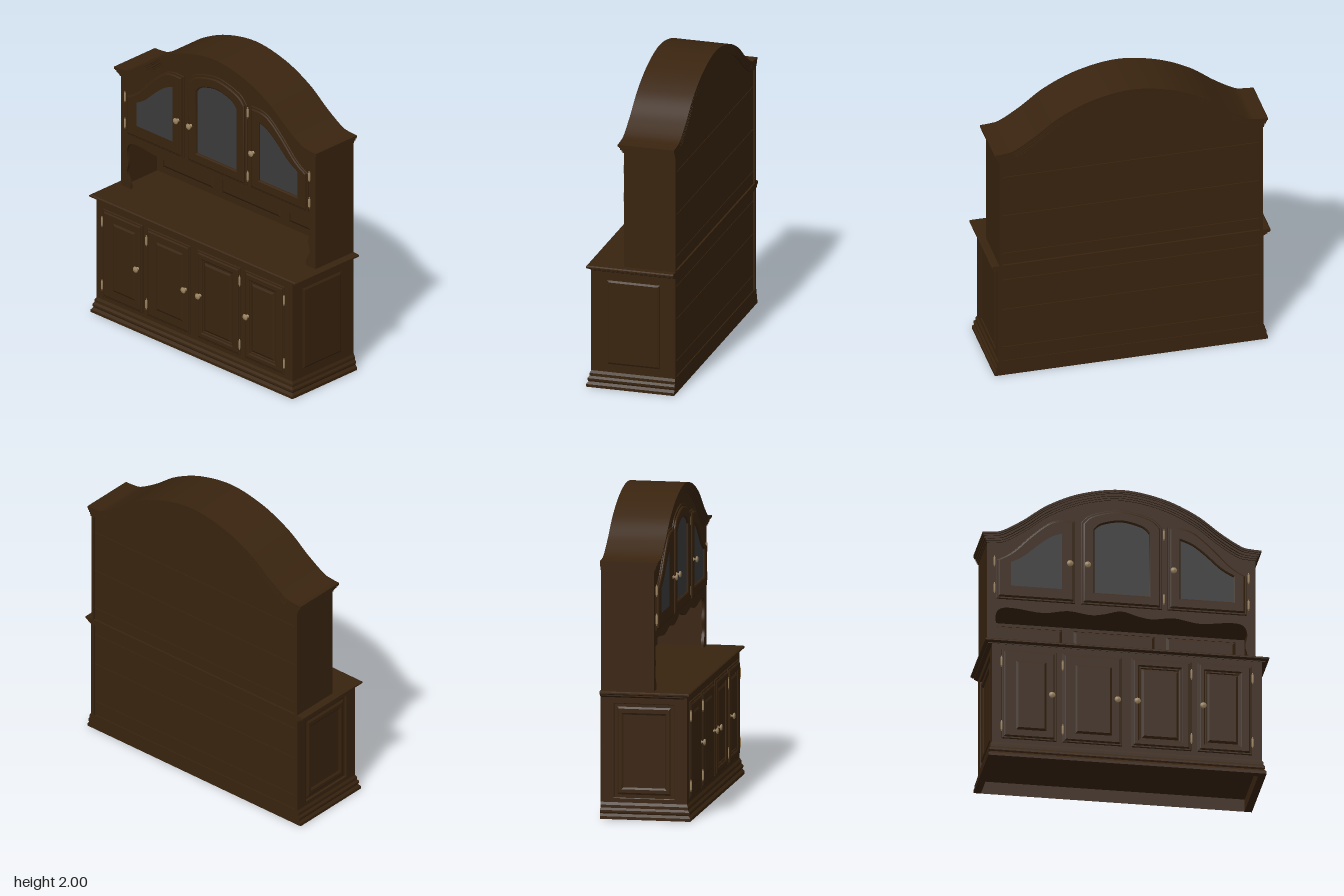
import * as THREE from 'three';
import { toCreasedNormals } from 'three/addons/utils/BufferGeometryUtils.js';

const material = (name, color) => {
  const m = new THREE.MeshStandardMaterial({ color });
  m.name = name;
  return m;
};
const V = (x, y) => new THREE.Vector2(x, y);
const mirror = (pts) => pts.map((p) => V(-p.x, p.y));
const spline = (pts, n = 32) => new THREE.SplineCurve(pts.map((p) => V(...p))).getPoints(n);
const rect = (x0, x1, y0, y1) => [V(x0, y0), V(x1, y0), V(x1, y1), V(x0, y1)];

// Flat outline with optional hole, from z0 to z1, with chamfered edges kept inside the outline
function slab(pts, z0, z1, bevel = 0, hole = null) {
  const shape = new THREE.Shape(pts);
  if (hole) shape.holes.push(new THREE.Path(hole));
  const t = bevel * 0.6;
  const g = new THREE.ExtrudeGeometry(shape, {
    depth: z1 - z0 - 2 * t, bevelEnabled: bevel > 0, bevelSize: bevel,
    bevelThickness: t, bevelOffset: -bevel, bevelSegments: 1,
  });
  return toCreasedNormals(g.translate(0, 0, z0 + t), 0.4);
}

// Moulding profile [offset, y] carried round the cabinet with mitred corners
function moulding(profile, w, zBack, zFront) {
  const pos = [];
  const at = ([o, y], k) => [
    [-w - o, y, zBack], [-w - o, y, zFront + o], [w + o, y, zFront + o], [w + o, y, zBack],
  ][k % 4];
  for (let j = 0; j < profile.length - 1; j++) {
    for (let k = 0; k < 4; k++) {
      const a = at(profile[j], k), b = at(profile[j], k + 1);
      const c = at(profile[j + 1], k + 1), d = at(profile[j + 1], k);
      pos.push(...a, ...b, ...c, ...a, ...c, ...d);
    }
  }
  const g = new THREE.BufferGeometry();
  g.setAttribute('position', new THREE.Float32BufferAttribute(pos, 3));
  g.computeVertexNormals();
  return g;
}

export function createModel() {
  const model = new THREE.Group();
  model.name = 'dresser';
  const wood = material('dark wood', 0x39240f);
  const glass = material('grey glass', 0x3b3b3b);
  const brass = material('aged brass', 0x9c8460);

  const add = (name, geometry, mat = wood) => {
    const mesh = new THREE.Mesh(geometry, mat);
    mesh.name = name;
    model.add(mesh);
    return mesh;
  };
  const box = (name, x0, x1, y0, y1, z0, z1) =>
    add(name, new THREE.BoxGeometry(x1 - x0, y1 - y0, z1 - z0)
      .translate((x0 + x1) / 2, (y0 + y1) / 2, (z0 + z1) / 2));

  // Plinth and worktop
  add('plinth', moulding([[-0.02, 0.09], [-0.02, 0], [0.027, 0], [0.027, 0.018], [0.014, 0.034],
    [0.019, 0.044], [0.019, 0.056], [0.009, 0.07], [0.009, 0.088], [0, 0.105]], 0.86, -0.3, 0.253));
  add('worktopEdge', moulding([[0, 0.775], [0.024, 0.787], [0.024, 0.794], [0.036, 0.796],
    [0.045, 0.802], [0.045, 0.811], [0.037, 0.817]], 0.86, -0.3, 0.23));
  box('worktop', -0.897, 0.897, 0.806, 0.817, -0.3, 0.267);

  // Lower carcass
  box('lowerFront', -0.86, 0.86, 0.09, 0.8, 0.235, 0.253);
  box('lowerFloor', -0.85, 0.85, 0.08, 0.095, -0.29, 0.24);
  for (const s of [-1, 1]) {
    const side = (p) => (s < 0 ? p : mirror(p));
    const turn = (g) => g.rotateY(s * Math.PI / 2);
    add('lowerSideFrame', turn(slab(side(rect(-0.3, 0.25, 0.09, 0.8)), 0.835, 0.86, 0.004,
      side(rect(-0.215, 0.17, 0.135, 0.735)))));
    add('lowerSideRecess', turn(slab(side(rect(-0.225, 0.18, 0.125, 0.745)), 0.835, 0.846)));
    add('lowerSidePanel', turn(slab(side(rect(-0.195, 0.15, 0.155, 0.715)), 0.84, 0.857, 0.012,
      side(rect(-0.155, 0.11, 0.2, 0.665)))));
  }

  // Arched top line shared by the cornice and the upper front
  const half = [[0.885, 1.646], [0.82, 1.65], [0.755, 1.665], [0.626, 1.745], [0.467, 1.862],
    [0.255, 1.957], [0, 2]];
  const topLine = spline([...half, ...half.slice(0, -1).reverse().map(([x, y]) => [-x, y])], 72);
  const arch = (w, drop) => topLine.map((p) => V(p.x * w / 0.885, p.y - drop));

  // Cornice: stepped bands following the arch, [half width, top drop, bottom drop, front z]
  for (const [w, d0, d1, z] of [[0.888, 0, 0.014, 0.07], [0.882, 0.013, 0.023, 0.064],
    [0.874, 0.022, 0.038, 0.058], [0.866, 0.037, 0.05, 0.052], [0.861, 0.049, 0.062, 0.046]]) {
    add('corniceBand', slab([...arch(w, d0), ...arch(w, d1).reverse()], -0.3, z));
  }

  // Upper front: arched above, scalloped opening below
  const scallop = [[0.77, 0.816], [0.775, 0.86], [0.803, 0.92], [0.79, 0.99], [0.803, 1.07],
    [0.775, 1.13], [0.69, 1.142], [0.5, 1.122], [0.34, 1.147], [0.2, 1.13], [0.11, 1.142], [0, 1.17]];
  const opening = spline([...scallop, ...scallop.slice(0, -1).reverse().map(([x, y]) => [-x, y])], 110);
  add('upperFront', slab([V(0.856, 0.816), ...arch(0.856, 0.05), V(-0.856, 0.816),
    ...opening.slice().reverse()], 0.022, 0.04));

  // Upper carcass, alcove and back
  for (const s of [-1, 1]) {
    const x = s * 0.846;
    box('upperSide', x - 0.01, x + 0.01, 0.816, 1.61, -0.3, 0.03);
  }
  box('alcoveCeiling', -0.84, 0.84, 1.175, 1.19, -0.28, 0.025);
  add('upperBack', slab([V(0.84, 1.47), ...arch(0.84, 0.05), V(-0.84, 1.47)], -0.288, -0.275));
  for (const [y0, y1] of [[0.1, 0.2], [0.204, 0.48], [0.484, 0.7], [0.704, 0.776], [0.816, 0.9],
    [0.904, 1.18], [1.184, 1.466]]) {
    box('backBoard', -0.84, 0.84, y0, y1, -0.288, -0.275);
  }
  box('backSheet', -0.84, 0.84, 0.1, 1.5, -0.278, -0.268);
  for (const [x0, x1] of [[-0.775, -0.33], [-0.255, 0.26], [0.335, 0.775]]) {
    add('alcovePanel', slab(rect(x0, x1, 0.865, 1.15), -0.27, -0.252, 0.018));
  }

  // Knobs and hinges
  const knobGeo = new THREE.LatheGeometry([[0.012, 0], [0.012, 0.004], [0.006, 0.007], [0.006, 0.015],
    [0.018, 0.02], [0.021, 0.025], [0.016, 0.031], [0, 0.034]].map((p) => V(...p)), 16).rotateX(Math.PI / 2);
  const hingeGeo = new THREE.LatheGeometry([[0, -0.04], [0.004, -0.036], [0.002, -0.03], [0.007, -0.027],
    [0.007, 0.027], [0.002, 0.03], [0.004, 0.036], [0, 0.04]].map((p) => V(...p)), 10);
  const knob = (x, y, z) => add('knob', knobGeo, brass).position.set(x, y, z);
  const hinge = (x, y, z) => add('hinge', hingeGeo, brass).position.set(x, y, z);

  // Lower doors: outer pair and inner pair
  for (const s of [-1, 1]) {
    for (const [x0, x1, p0, p1, knobX, hingeX] of [[0.45, 0.797, 0.508, 0.712, 0.482, 0.8],
      [0.03, 0.41, 0.09, 0.333, 0.063, 0.41]]) {
      const flip = (p) => (s > 0 ? p : mirror(p));
      add('lowerDoorLip', slab(flip(rect(x0, x1, 0.133, 0.747)), 0.25, 0.261, 0.004,
        flip(rect(p0, p1, 0.195, 0.68))));
      add('lowerDoorFrame', slab(flip(rect(x0 + 0.012, x1 - 0.012, 0.145, 0.735)), 0.255, 0.27, 0.008,
        flip(rect(p0 - 0.012, p1 + 0.012, 0.183, 0.692))));
      add('lowerDoorPanel', slab(flip(rect(p0 + 0.004, p1 - 0.004, 0.199, 0.676)), 0.25, 0.267, 0.014));
      knob(s * knobX, 0.44, 0.267);
      for (const y of [0.215, 0.66]) hinge(s * hingeX, y, 0.267);
    }
  }

  // Glazed doors: stepped frame round a pane
  const glazedDoor = (outline, inner, pane) => {
    add('upperDoorLip', slab(outline, 0.037, 0.048, 0.004, pane));
    add('upperDoorFrame', slab(inner, 0.042, 0.06, 0.008, pane));
    add('glassPane', slab(pane, 0.041, 0.046), glass);
  };
  const sideTop = spline([[0.797, 1.465], [0.7, 1.525], [0.58, 1.645], [0.47, 1.74], [0.39, 1.772],
    [0.295, 1.772]], 24);
  const sideDoor = [V(0.295, 1.2), V(0.797, 1.2), ...sideTop];
  const sideInner = sideDoor.map((p) => V(0.546 + (p.x - 0.546) * 0.95, 1.213 + (p.y - 1.2) * 0.955));
  const sidePane = [V(0.375, 1.28), V(0.713, 1.28),
    ...spline([[0.713, 1.457], [0.63, 1.505], [0.53, 1.595], [0.45, 1.655], [0.375, 1.685]], 20)];
  glazedDoor(sideDoor, sideInner, sidePane);
  glazedDoor(mirror(sideDoor), mirror(sideInner), mirror(sidePane));

  const arched = (w, y0, ySide, yTop) => [V(-w, y0), V(w, y0), ...spline([[w, ySide],
    [w * 0.72, ySide + (yTop - ySide) * 0.6], [0, yTop], [-w * 0.72, ySide + (yTop - ySide) * 0.6],
    [-w, ySide]], 28)];
  glazedDoor(arched(0.258, 1.2, 1.765, 1.868), arched(0.244, 1.213, 1.755, 1.852),
    arched(0.174, 1.28, 1.715, 1.785));

  for (const x of [-0.333, -0.22, 0.328]) knob(x, 1.46, 0.059);
  for (const [x, ...ys] of [[-0.81, 1.27, 1.455], [0.81, 1.27, 1.455], [0.27, 1.27, 1.715]]) {
    for (const y of ys) hinge(x, y, 0.05);
  }
  return model;
}
